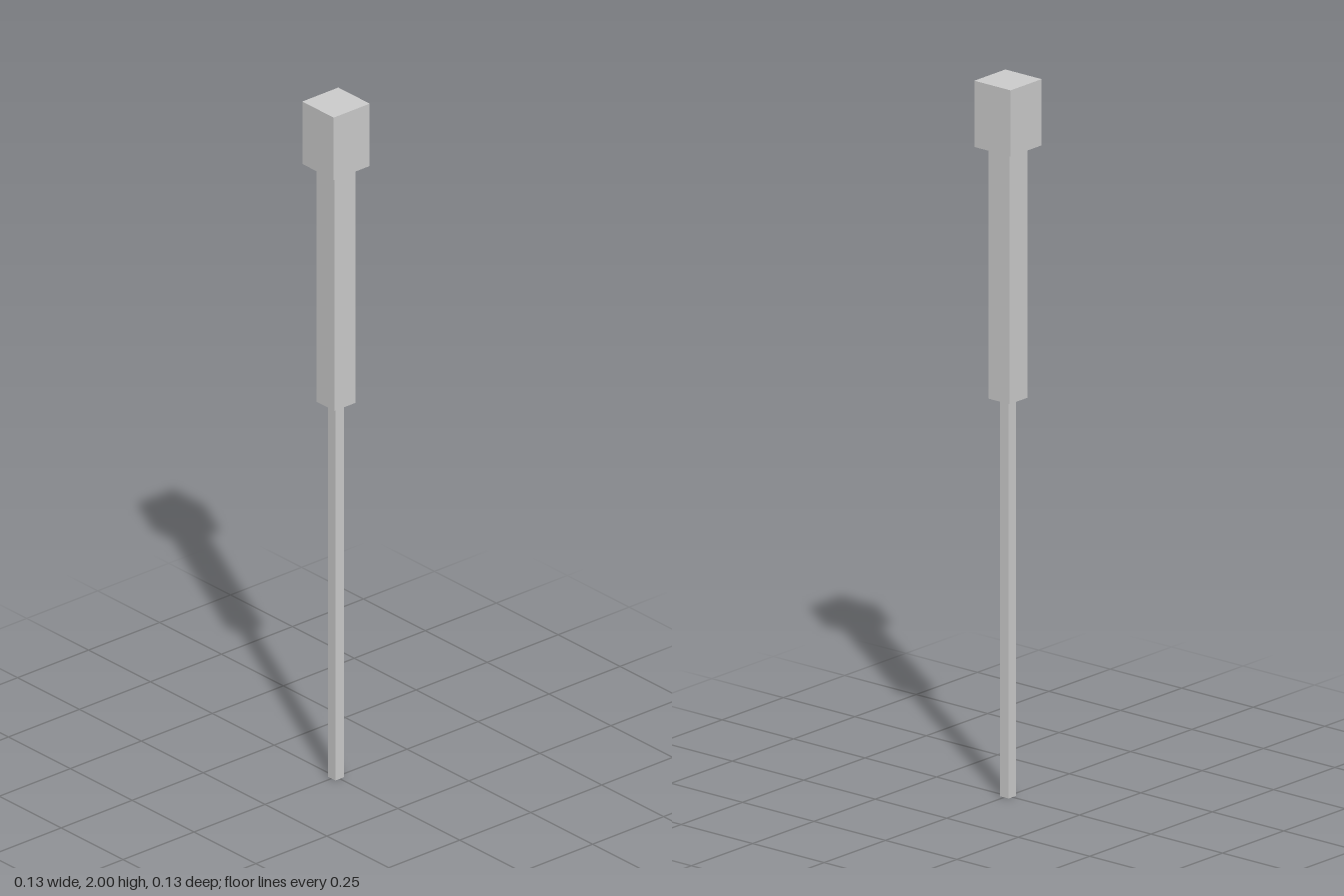
import * as THREE from 'three';

// Stacked square sections: name, width, bottom, top
const SECTIONS = [
  ['rod', 0.031, 0, 1.111],
  ['handle', 0.073, 1.111, 1.815],
  ['head', 0.127, 1.815, 2],
];

export function createModel() {
  const group = new THREE.Group();
  const material = new THREE.MeshStandardMaterial({ color: 0xcccccc, flatShading: true });
  for (const [name, width, bottom, top] of SECTIONS) {
    const mesh = new THREE.Mesh(new THREE.BoxGeometry(width, top - bottom, width), material);
    mesh.name = name;
    mesh.position.y = (bottom + top) / 2;
    group.add(mesh);
  }
  return group;
}
